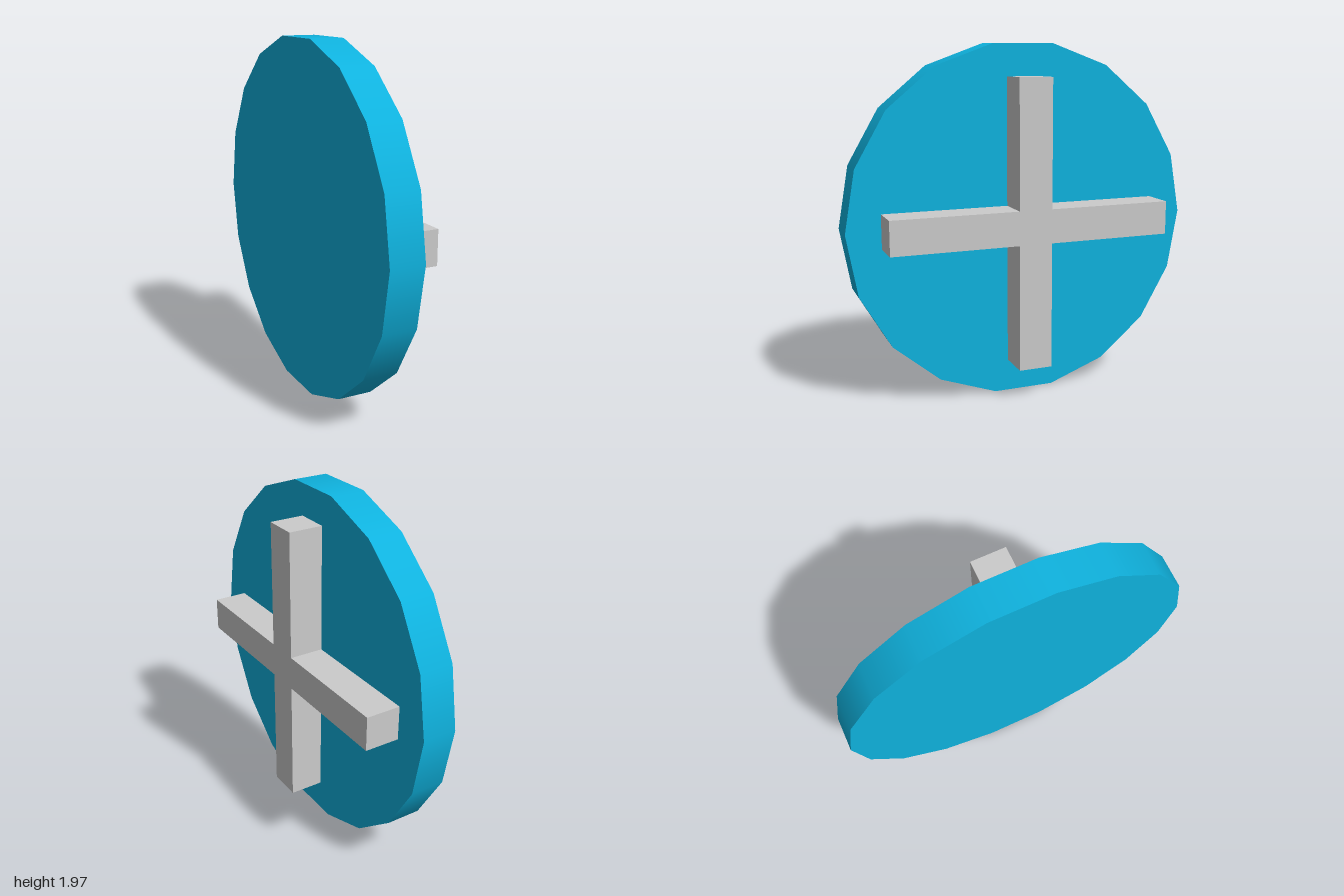
import * as THREE from 'three';

export function createModel() {
  const group = new THREE.Group();
  const depth = 0.193; // thickness of both disc and cross
  const centreY = Math.cos(Math.PI / 18); // flat edge of the 18-sided disc rests on the ground

  // Upright round backing disc, axis along x
  const disc = new THREE.Mesh(
    new THREE.CylinderGeometry(1, 1, depth, 18),
    new THREE.MeshStandardMaterial({ color: 0x0fb3df })
  );
  disc.name = 'disc';
  disc.rotation.z = Math.PI / 2;
  disc.position.set(-depth / 2, centreY, 0);
  group.add(disc);

  // Plus-shaped cross on the disc's left face
  const w = 0.095, l = 0.805;
  const outline = [];
  for (let i = 0; i < 4; i++) {
    const pivot = new THREE.Vector2();
    for (const [x, y] of [[l, -w], [l, w], [w, w]]) {
      outline.push(new THREE.Vector2(x, y).rotateAround(pivot, i * Math.PI / 2));
    }
  }
  const cross = new THREE.Mesh(
    new THREE.ExtrudeGeometry(new THREE.Shape(outline), { depth, bevelEnabled: false }),
    new THREE.MeshStandardMaterial({ color: 0xcccccc })
  );
  cross.name = 'cross';
  cross.rotation.y = Math.PI / 2;
  cross.position.set(0, centreY + 0.003, 0.003);
  group.add(cross);

  return group;
}
